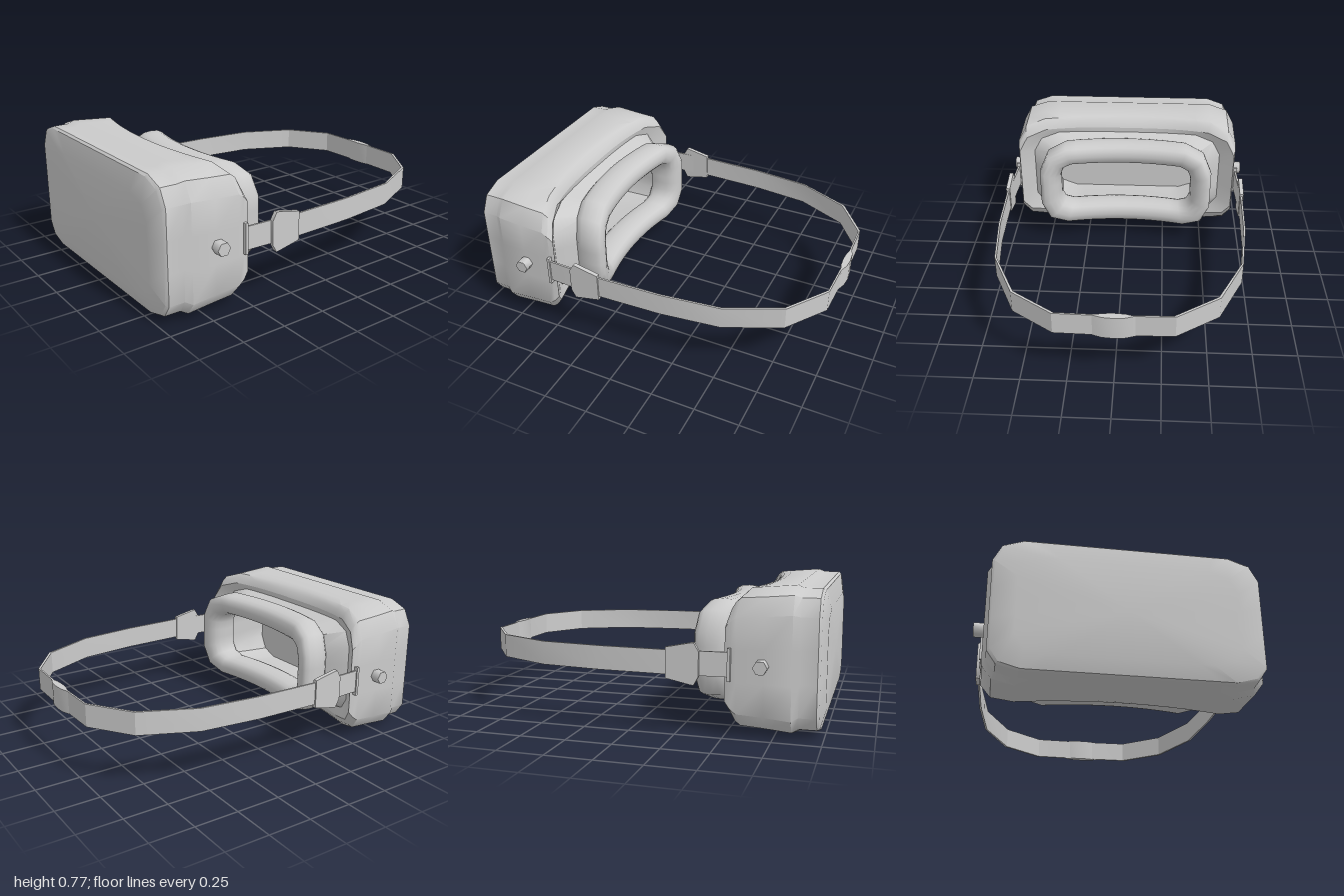
import * as THREE from 'three';
import { toCreasedNormals } from 'three/addons/utils/BufferGeometryUtils.js';

const material = new THREE.MeshStandardMaterial({ color: 0xcccccc });

function addMesh(parent, name, geometry, crease = 0.65) {
  const mesh = new THREE.Mesh(toCreasedNormals(geometry, crease), material);
  mesh.name = name;
  parent.add(mesh);
  return mesh;
}

// Rectangle with two-step corners, counter-clockwise from the front; z follows x.
function ring(w, y0, y1, cx, cTop, cBottom, z) {
  const points = [];
  const line = (xa, ya, xb, yb, n) => {
    for (let i = 0; i <= n; i++) points.push([xa + (xb - xa) * i / n, ya + (yb - ya) * i / n]);
  };
  const k = 0.3;
  line(w, y0 + cBottom, w, y1 - cTop, 3);
  points.push([w - k * cx, y1 - k * cTop]);
  line(w - cx, y1, cx - w, y1, 12);
  points.push([k * cx - w, y1 - k * cTop]);
  line(-w, y1 - cTop, -w, y0 + cBottom, 3);
  points.push([k * cx - w, y0 + k * cBottom]);
  line(cx - w, y0, w - cx, y0, 12);
  points.push([w - k * cx, y0 + k * cBottom]);
  return points.map(([x, y]) => [x, y, typeof z === 'function' ? z(Math.abs(x)) : z]);
}

// Skin a list of rings, optionally closing the first or last one.
function loft(rings, capStart = false, capEnd = false) {
  const n = rings[0].length, index = [];
  const vertices = rings.flat();
  for (let r = 0; r < rings.length - 1; r++) {
    for (let j = 0; j < n; j++) {
      const a = r * n + j, b = r * n + (j + 1) % n;
      index.push(a, a + n, b + n, a, b + n, b);
    }
  }
  const cap = (start, flip) => {
    const center = vertices.length;
    const loop = vertices.slice(start, start + n);
    vertices.push([0, 1, 2].map(c => loop.reduce((s, p) => s + p[c], 0) / n));
    for (let j = 0; j < n; j++) {
      const a = start + j, b = start + (j + 1) % n;
      index.push(center, flip ? b : a, flip ? a : b);
    }
  };
  if (capStart) cap(0, false);
  if (capEnd) cap((rings.length - 1) * n, true);
  const g = new THREE.BufferGeometry();
  g.setAttribute('position', new THREE.Float32BufferAttribute(vertices.flat(), 3));
  g.setIndex(index);
  g.computeVertexNormals();
  return g;
}

// Extrude an outline given as [x, z] upward from y0 to y1.
function slab(outline, y0, y1) {
  const shape = new THREE.Shape(outline.map(([x, z]) => new THREE.Vector2(x, -z)));
  return new THREE.ExtrudeGeometry(shape, { depth: y1 - y0, bevelEnabled: false })
    .rotateX(-Math.PI / 2).translate(0, y0, 0);
}

export function createModel() {
  const group = new THREE.Group();
  group.name = 'headset';

  const curve = (z, drop, w, power) => x => z - drop * Math.pow(x / w, power);
  const rim = ring(0.7, 0.08, 0.69, 0.17, 0.13, 0.1, curve(0.62, 0.12, 0.7, 3));

  // Front plate, step and main shell
  addMesh(group, 'housing', loft([
    ring(0.56, 0.1, 0.64, 0.15, 0.12, 0.1, 1),
    ring(0.675, 0.025, 0.745, 0.15, 0.13, 0.1, 0.978),
    ring(0.688, 0.018, 0.756, 0.155, 0.13, 0.1, 0.965),
    ring(0.69, 0.018, 0.756, 0.155, 0.13, 0.1, 0.875),
    ring(0.71, 0, 0.77, 0.17, 0.135, 0.1, 0.84),
    ring(0.71, 0.012, 0.758, 0.17, 0.135, 0.1, 0.7),
    ring(0.71, 0.02, 0.75, 0.17, 0.135, 0.1, curve(0.67, 0.11, 0.71, 2)),
    ring(0.708, 0.045, 0.727, 0.17, 0.135, 0.1, curve(0.637, 0.11, 0.71, 2.5)),
    rim,
  ], true));

  // Funnel from the rear rim to the cushion, then the inner cavity
  addMesh(group, 'faceShroud', loft([
    rim,
    ring(0.61, 0.115, 0.66, 0.16, 0.12, 0.1, curve(0.62, 0.06, 0.61, 3)),
    ring(0.49, 0.16, 0.62, 0.13, 0.1, 0.1, curve(0.51, 0.06, 0.49, 2)),
    ring(0.44, 0.215, 0.565, 0.09, 0.07, 0.07, curve(0.49, 0.06, 0.44, 2)),
    ring(0.48, 0.18, 0.6, 0.12, 0.1, 0.1, 0.64),
    ring(0.5, 0.16, 0.62, 0.14, 0.12, 0.12, 0.78),
  ], false, true));

  // Padded ring bent around the face
  const steps = 16, cushion = [];
  for (let i = 0; i <= steps; i++) {
    const a = (i % steps) / steps * Math.PI * 2;
    const soft = v => Math.sign(v) * Math.pow(Math.abs(v), 0.75);
    const t = 0.066 * soft(Math.cos(a)), d = 0.093 * soft(Math.sin(a));
    const c = 0.12 + t * 0.7;
    cushion.push(ring(0.484 + t, 0.175 - t, 0.605 + t, c, c, c, curve(0.467 - d, 0.08, 0.5, 2)));
  }
  addMesh(group, 'faceCushion', loft(cushion), 1.1);

  // Head strap as one thin band
  const half = [[0.722, 0.53], [0.738, 0.2], [0.726, -0.17], [0.687, -0.51],
    [0.547, -0.812], [0.315, -0.973], [0.1, -0.978]];
  const outer = [...half, ...half.map(([x, z]) => [-x, z]).reverse()];
  const inner = outer.map(([x, z]) => [x - Math.sign(x) * 0.011, z < -0.6 ? z + 0.009 : z]).reverse();
  addMesh(group, 'headStrap', slab([...outer, ...inner], 0.312, 0.44), 0.5);

  // Lens-shaped pad at the back of the strap
  addMesh(group, 'rearPad', slab([[0.11, -0.978], [0.06, -0.995], [0, -1], [-0.06, -0.995],
    [-0.11, -0.978], [-0.06, -0.963], [0, -0.959], [0.06, -0.963]], 0.31, 0.442), 0.5);

  for (const [side, s] of [['left', 1], ['right', -1]]) {
    // Tapered strap buckle
    const outline = [[0.375, 0.44], [0.35, 0.484], [0.335, 0.483], [0.2, 0.455],
      [0.2, 0.293], [0.335, 0.265], [0.35, 0.264], [0.375, 0.31]];
    const shape = new THREE.Shape(outline.map(([z, y]) => new THREE.Vector2(-z, y)));
    const buckle = new THREE.ExtrudeGeometry(shape, { depth: 0.024, bevelEnabled: false })
      .rotateY(Math.PI / 2).translate(s * 0.734 - 0.012, 0, 0);
    addMesh(group, side + 'Buckle', buckle);

    // Bar joining strap to shell
    const bar = addMesh(group, side + 'StrapMount', new THREE.BoxGeometry(0.03, 0.17, 0.016));
    bar.position.set(s * 0.715, 0.375, 0.526);

    // Side knob
    const knob = addMesh(group, side + 'Knob',
      new THREE.CylinderGeometry(0.038, 0.038, 0.075, 6).rotateZ(Math.PI / 2), 1.2);
    knob.position.set(s * 0.728, 0.375, 0.69);
  }
  return group;
}
